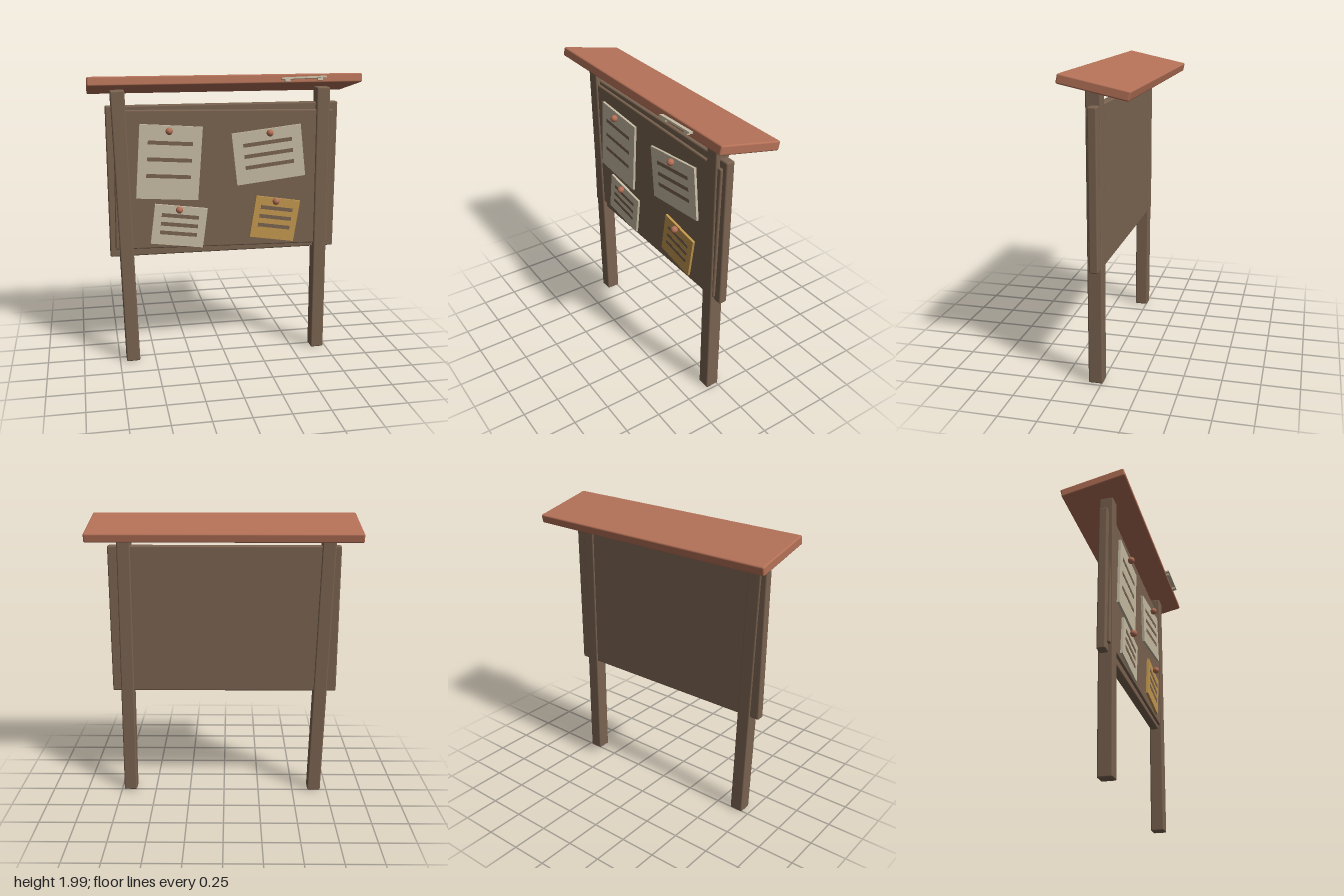
import * as THREE from 'three';
import { RoundedBoxGeometry } from 'three/addons/geometries/RoundedBoxGeometry.js';

function material(name, color) {
  const m = new THREE.MeshStandardMaterial({ color });
  m.name = name;
  return m;
}

export function createModel() {
  const group = new THREE.Group();
  const wood = material('brown wood', 0x7a6350);
  const terracotta = material('terracotta', 0xb47157);
  const paper = material('cream paper', 0xc8bda5);
  const gold = material('golden paper', 0xc2984f);

  function add(parent, name, geometry, mat, x, y, z, rx = 0, rz = 0) {
    const mesh = new THREE.Mesh(geometry, mat);
    mesh.name = name;
    mesh.position.set(x, y, z);
    mesh.rotation.set(rx, 0, rz);
    parent.add(mesh);
    return mesh;
  }
  const beam = (w, h, d, r = 0.01) => new RoundedBoxGeometry(w, h, d, 2, r);

  // Two slightly crooked posts
  add(group, 'rightPost', beam(0.094, 1.895, 0.095), wood, -0.683, 0.953, 0.038, 0, 0.027);
  add(group, 'leftPost', beam(0.092, 1.895, 0.095), wood, 0.681, 0.953, 0.038, 0, 0.006);

  // Backing board with a skewed front panel
  add(group, 'backBoard', beam(1.575, 1.025, 0.058), wood, -0.002, 1.288, 0.028);
  add(group, 'frontPanel', beam(1.49, 0.945, 0.04), wood, 0, 1.29, 0.054, 0, -0.018);

  // Sloping roof plank, higher at the front
  add(group, 'roof', beam(1.8, 0.06, 0.437), terracotta, 0, 1.927, -0.014, -0.21);

  // Pinned notices: centre, size, tilt, line spacing, line length, line offset, pin height
  const notices = [
    { x: -0.38, y: 1.42, w: 0.42, h: 0.498, tilt: -0.07, gap: 0.112, line: 0.3, off: 0.02, pin: 1.635 },
    { x: 0.3, y: 1.452, w: 0.48, h: 0.357, tilt: 0.115, gap: 0.077, line: 0.34, off: 0.01, pin: 1.605 },
    { x: -0.32, y: 0.981, w: 0.362, h: 0.277, tilt: -0.13, gap: 0.061, line: 0.255, off: 0.008, pin: 1.1 },
    { x: 0.35, y: 1.0, w: 0.315, h: 0.293, tilt: -0.155, gap: 0.063, line: 0.228, off: 0.01, pin: 1.13, mat: gold },
  ];
  const pinGeometry = new THREE.SphereGeometry(0.024, 16, 12);
  for (const n of notices) {
    const notice = new THREE.Group();
    notice.name = 'notice';
    notice.position.set(n.x, n.y, 0.082);
    notice.rotation.z = n.tilt;
    group.add(notice);
    add(notice, 'sheet', new THREE.BoxGeometry(n.w, n.h, 0.018), n.mat || paper, 0, 0, 0);
    // Written lines as thin strips
    for (let i = -1; i <= 1; i++) {
      add(notice, 'writtenLine', new THREE.BoxGeometry(n.line, 0.026, 0.004), wood, 0, n.off + i * n.gap, 0.009);
    }
    add(group, 'pin', pinGeometry, terracotta, n.x, n.pin, 0.112);
  }

  // Small tag lying along the front edge of the roof
  const tag = new THREE.Group();
  tag.name = 'roofTag';
  tag.position.set(0.495, 1.972, 0.212);
  tag.rotation.z = 0.025;
  group.add(tag);
  add(tag, 'tagSheet', new THREE.BoxGeometry(0.3, 0.012, 0.034), paper, 0, 0.004, 0, -0.21);
  for (const x of [-0.11, 0.11]) {
    add(tag, 'tagClip', new THREE.BoxGeometry(0.035, 0.022, 0.02), paper, x, -0.006, 0, -0.21);
  }

  return group;
}
